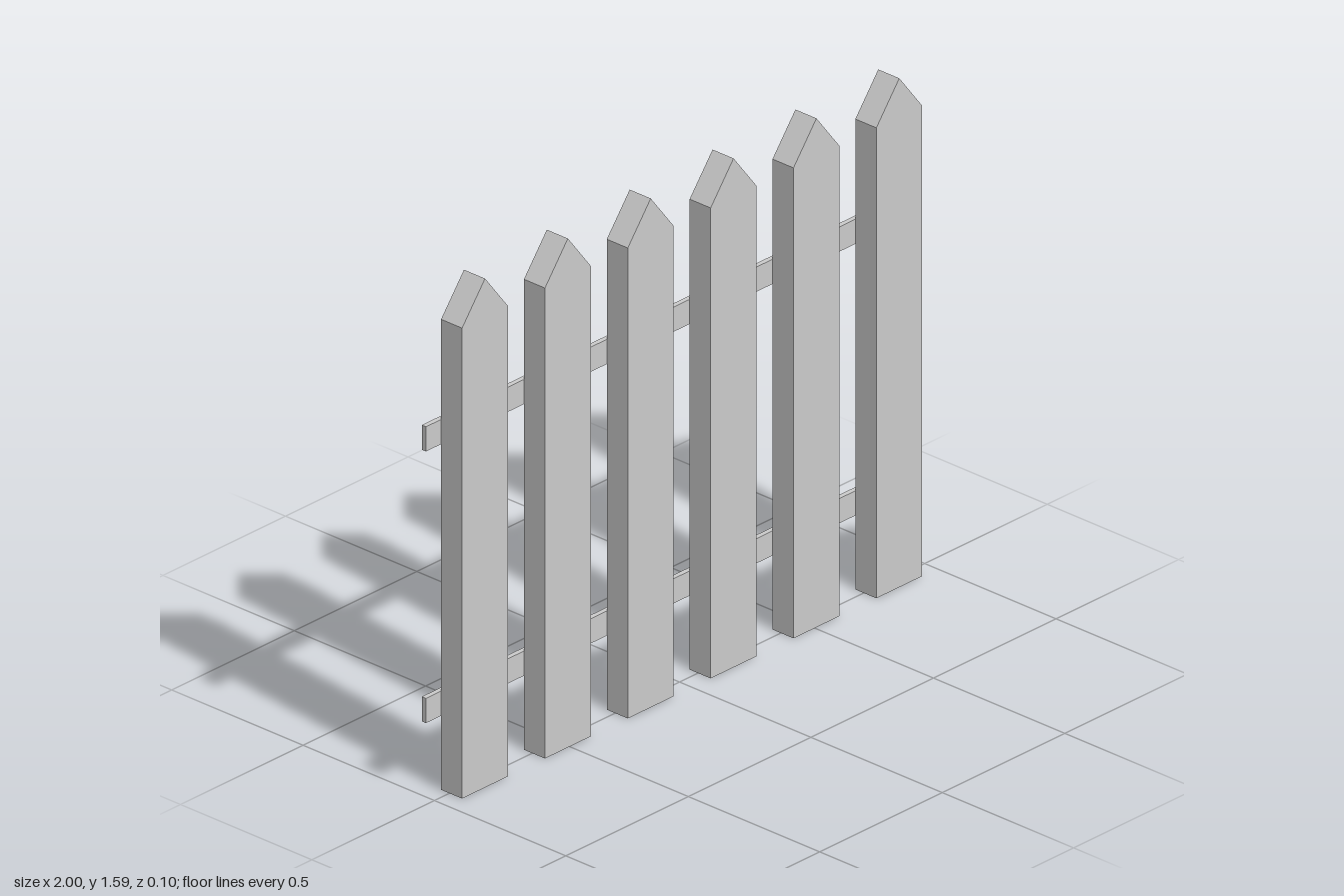
import * as THREE from 'three';

export function createModel() {
  const fence = new THREE.Group();
  fence.name = 'picketFence';
  const material = new THREE.MeshStandardMaterial({ color: 0xcccccc, flatShading: true });

  // Pointed pickets
  const count = 6, spacing = 0.338, half = 0.0935, shoulder = 1.467, tip = 1.587;
  const outline = new THREE.Shape([
    new THREE.Vector2(-half, 0),
    new THREE.Vector2(half, 0),
    new THREE.Vector2(half, shoulder),
    new THREE.Vector2(0, tip),
    new THREE.Vector2(-half, shoulder),
  ]);
  const picketGeometry = new THREE.ExtrudeGeometry(outline, { depth: 0.08, bevelEnabled: false });
  for (let i = 0; i < count; i++) {
    const picket = new THREE.Mesh(picketGeometry, material);
    picket.name = `picket${i + 1}`;
    picket.position.set((i - (count - 1) / 2) * spacing, 0, -0.032);
    fence.add(picket);
  }

  // Horizontal rails fixed to the back of the pickets
  const railGeometry = new THREE.BoxGeometry(2, 0.077, 0.016);
  for (const [name, y] of [['lowerRail', 0.269], ['upperRail', 1.116]]) {
    const rail = new THREE.Mesh(railGeometry, material);
    rail.name = name;
    rail.position.set(0, y, -0.04);
    fence.add(rail);
  }
  return fence;
}
